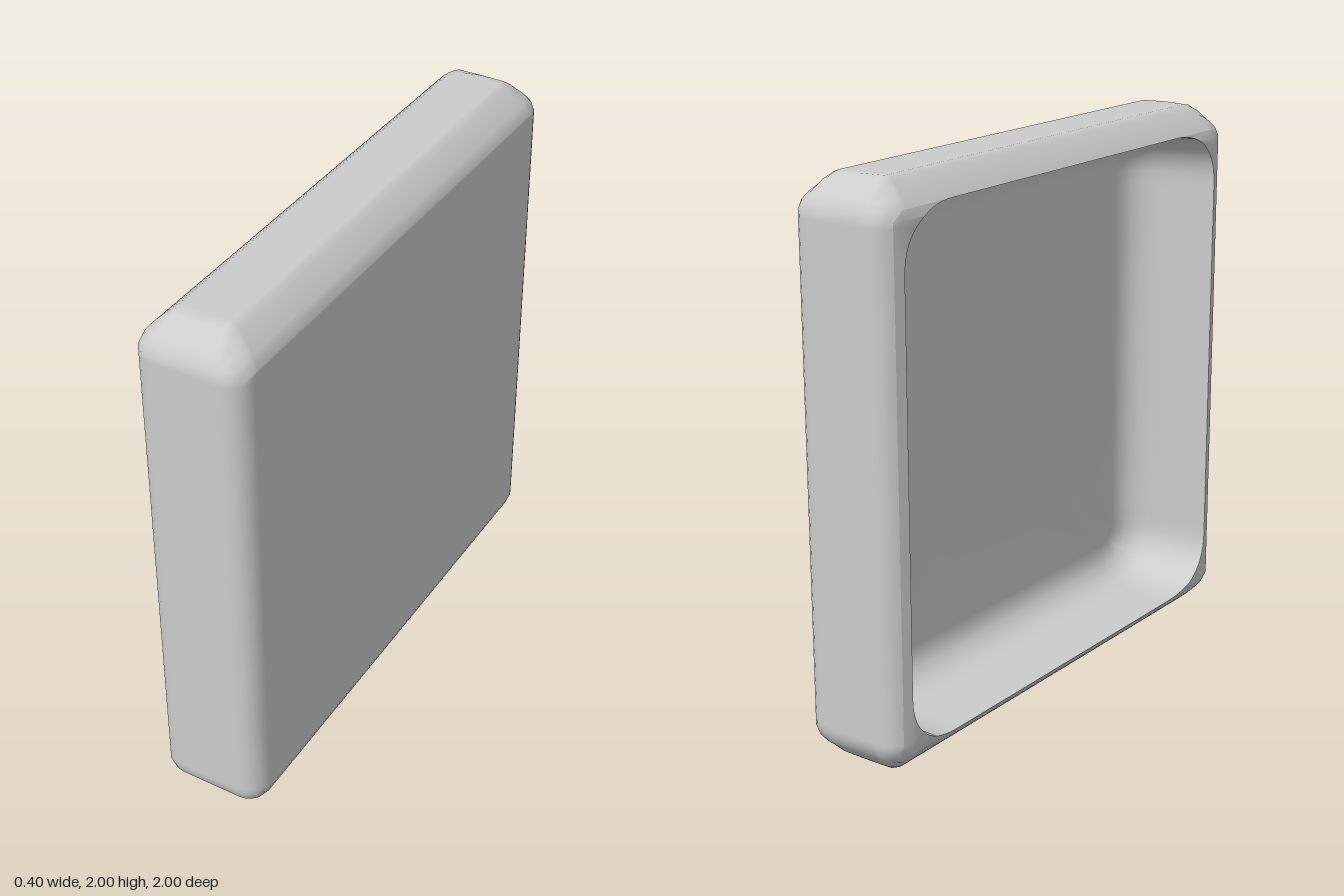
import * as THREE from 'three';
import { mergeVertices } from 'three/addons/utils/BufferGeometryUtils.js';

// Chamfer with softened ends: [inset, distance below the top]
const CHAMFER = [[0, .12], [.01, .09], [.03, .065], [.07, .025], [.095, .006], [.11, 0]];
const FLAT_Y = .88;   // half height of the flat side faces
const R = .08;        // radius of the upright edges

function drop(d) {
  for (let i = 1; i < CHAMFER.length; i++) {
    const [d0, h0] = CHAMFER[i - 1], [d1, h1] = CHAMFER[i];
    if (d <= d1) return h0 + (h1 - h0) * (d - d0) / (d1 - d0);
  }
  return 0;
}

// Half depth of the body at a given x and chamfer inset
function edgeZ(x, d) {
  const hx = .2 - d, r = R * (1 - d / .14);
  const t = Math.max(0, Math.abs(x) - (hx - r));
  return 1 - d - r + Math.sqrt(Math.max(0, r * r - t * t));
}

// One quarter of the outer cross-section at x, from the side middle to the top middle
function outerQuarter(x) {
  const pts = [], steps = [0, .4, .7, .75, .79, .83, .86, .89, .92, .95, .975];
  const dMax = Math.max(0, Math.min(.11, .2 - Math.abs(x)));
  for (const f of steps) pts.push([x, f * FLAT_Y, edgeZ(x, 0)]);
  for (const [dj] of CHAMFER) {
    const d = Math.min(dj, dMax);
    pts.push([x, 1 - drop(d), edgeZ(x, d)]);
  }
  const y = 1 - drop(dMax), z = edgeZ(x, dMax);
  for (const f of steps.slice().reverse()) pts.push([x, y, z * f]);
  return pts;
}

// Clamp a point to the opening outline, which has large rounded corners
function openingPoint(y, z, inset) {
  const hy = .91 - inset, hz = .92 - inset, cy = .7, cz = .66;
  y = Math.min(y, hy);
  z = Math.min(z, hz);
  if (y > cy && z > cz) {
    const u = (y - cy) / (hy - cy), v = (z - cz) / (hz - cz);
    const k = Math.max(1, Math.pow(u ** 2.3 + v ** 2.3, 1 / 2.3));
    y = cy + (y - cy) / k;
    z = cz + (z - cz) / k;
  }
  return [y, z];
}

// x of the open side's surface at half height y
const rimX = y => -.2 + Math.max(0, y - FLAT_Y) / .03 * .01;

// Mirror a quarter into a closed ring
function ring(q) {
  const rev = q.slice(0, -1).reverse();
  return [
    ...q,
    ...rev.map(([x, y, z]) => [x, y, -z]),
    ...q.slice(1).map(([x, y, z]) => [x, -y, -z]),
    ...rev.map(([x, y, z]) => [x, -y, z]),
  ];
}

// Skin a list of quarter rings into one smooth surface
function skin(quarters) {
  const rings = quarters.map(ring), n = rings[0].length;
  const pos = [], idx = [];
  for (const r of rings) for (const [x, y, z] of r) pos.push(x, y + 1, z);
  for (let i = 0; i < rings.length - 1; i++) {
    for (let j = 0; j < n - 1; j++) {
      const a = i * n + j, c = a + n;
      idx.push(a, a + 1, c, a + 1, c + 1, c);
    }
  }
  let g = new THREE.BufferGeometry();
  g.setAttribute('position', new THREE.Float32BufferAttribute(pos, 3));
  g.setIndex(idx);
  g = mergeVertices(g, 1e-5);
  g.computeVertexNormals();
  return g;
}

export function createModel() {
  const group = new THREE.Group();
  group.name = 'hollowPanel';
  const material = new THREE.MeshStandardMaterial({ color: 0xcccccc });
  const add = (name, geometry) => {
    const mesh = new THREE.Mesh(geometry, material);
    mesh.name = name;
    group.add(mesh);
  };
  const centre = (q, x) => q.map(() => [x, 0, 0]);

  // Outer shell: closed face, rounded and chamfered edges, up to the open side
  const half = [.2, .198, .19, .177, .16, .14, .12, .105, .09];
  const levels = [...half, 0, ...half.slice(2).reverse().map(x => -x)];
  const outer = levels.map(outerQuarter);
  const last = outer[outer.length - 1];
  add('outerShell', skin([centre(last, .2), ...outer]));

  // Rim: remaining corners of the open side around the opening
  const flat = outerQuarter(-.2);
  const rim = last.map(([, y, z]) => {
    const [py, pz] = openingPoint(y, z, 0);
    return [rimX(py), py, pz];
  });
  const face = flat.map(([, y, z], i) => {
    const fy = y >= FLAT_Y - 1e-6 ? Math.max(FLAT_Y, rim[i][1]) : y;
    return [rimX(fy), fy, z];
  });
  add('openRim', skin([last, face, rim]));

  // Cavity: walls curving into the flat floor
  const steps = [[-.12, .004], [0, .015], [.05, .025], [.09, .045], [.12, .075], [.135, .11], [.14, .15]];
  const walls = steps.map(([x, inset]) => last.map(([, y, z]) => [x, ...openingPoint(y, z, inset)]));
  add('cavity', skin([rim, ...walls, centre(last, .14)]));

  return group;
}
